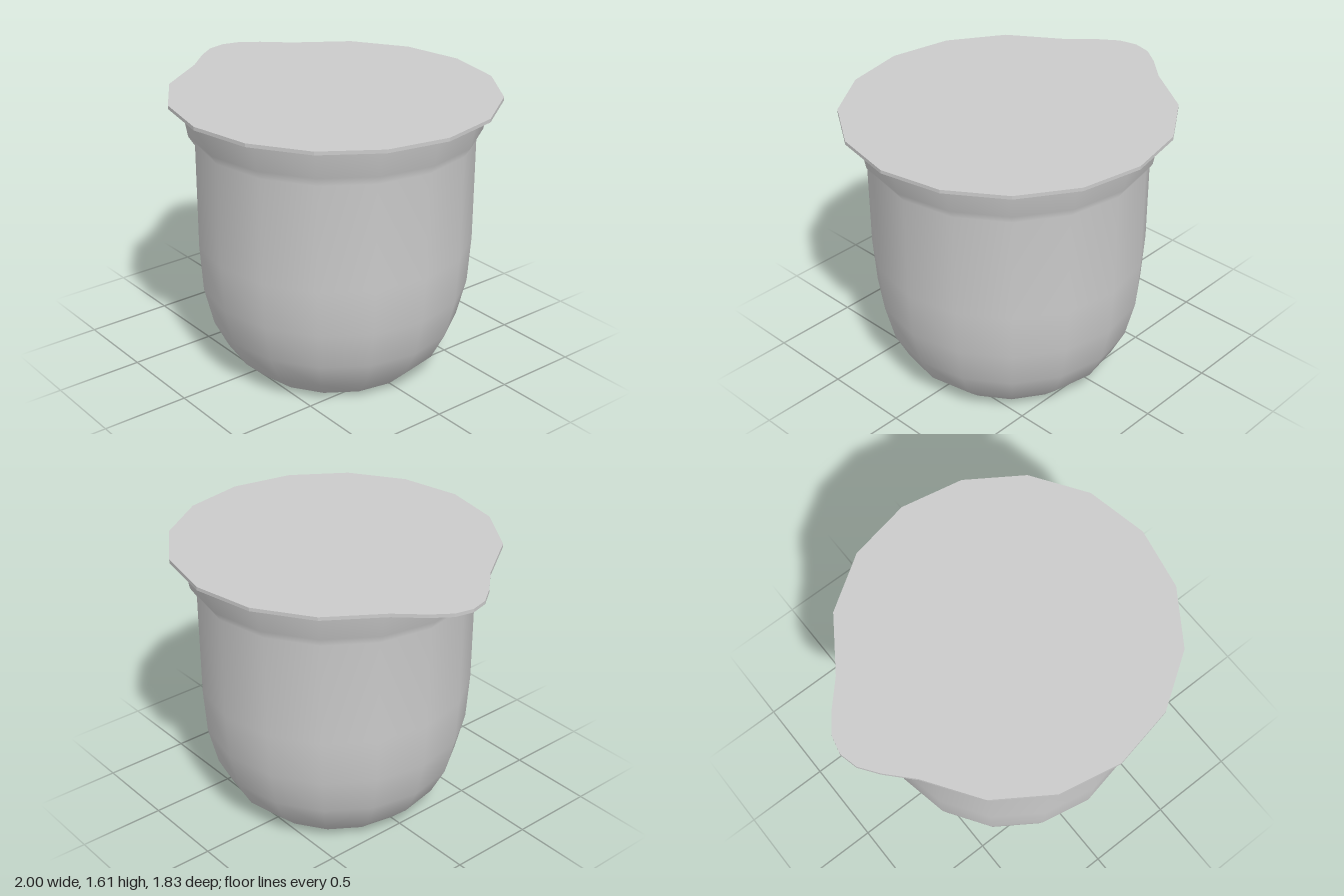
import * as THREE from 'three';

const SIDES = 16;
const CENTRE_X = 0.08;
const RIM_Y = 1.59;
const TOP_Y = 1.61;

export function createModel() {
  const group = new THREE.Group();
  group.name = 'sealedCup';
  const material = new THREE.MeshStandardMaterial({ color: 0xcccccc });
  const wallMaterial = new THREE.MeshStandardMaterial({ color: 0xcccccc, side: THREE.DoubleSide });

  const add = (name, geometry, mat, x, y) => {
    const mesh = new THREE.Mesh(geometry, mat);
    mesh.name = name;
    mesh.position.set(x, y, 0);
    group.add(mesh);
  };

  // Cup wall: rounded foot, straight side, stepped and flared rim
  const profile = [
    [0.505, 0], [0.63, 0.12], [0.71, 0.28], [0.763, 0.5], [0.78, 0.77],
    [0.78, 1.37], [0.815, 1.425], [0.845, RIM_Y],
  ].map(([r, y]) => new THREE.Vector2(r, y));
  add('cupWall', new THREE.LatheGeometry(profile, SIDES), wallMaterial, CENTRE_X, 0);

  // Flat base, facing down
  const base = new THREE.CircleGeometry(profile[0].x, SIDES).rotateX(Math.PI / 2);
  add('cupBase', base, material, CENTRE_X, 0);

  // Foil lid: a 16-sided disc whose -x side runs out into a rounded pull tab
  const outline = [];
  for (let i = -7; i <= 7; i++) {
    const a = (i / SIDES) * Math.PI * 2;
    outline.push(new THREE.Vector2(CENTRE_X + 0.92 * Math.cos(a), 0.915 * Math.sin(a)));
  }
  const tab = [[-0.9, 0.21], [-0.975, 0.105], [-1, 0], [-0.975, -0.105], [-0.9, -0.21]];
  outline.push(...tab.map(([x, y]) => new THREE.Vector2(x, y)));
  const lid = new THREE.ExtrudeGeometry(new THREE.Shape(outline), {
    depth: TOP_Y - RIM_Y, bevelEnabled: false,
  }).rotateX(-Math.PI / 2);
  add('foilLid', lid, material, 0, RIM_Y);

  return group;
}
